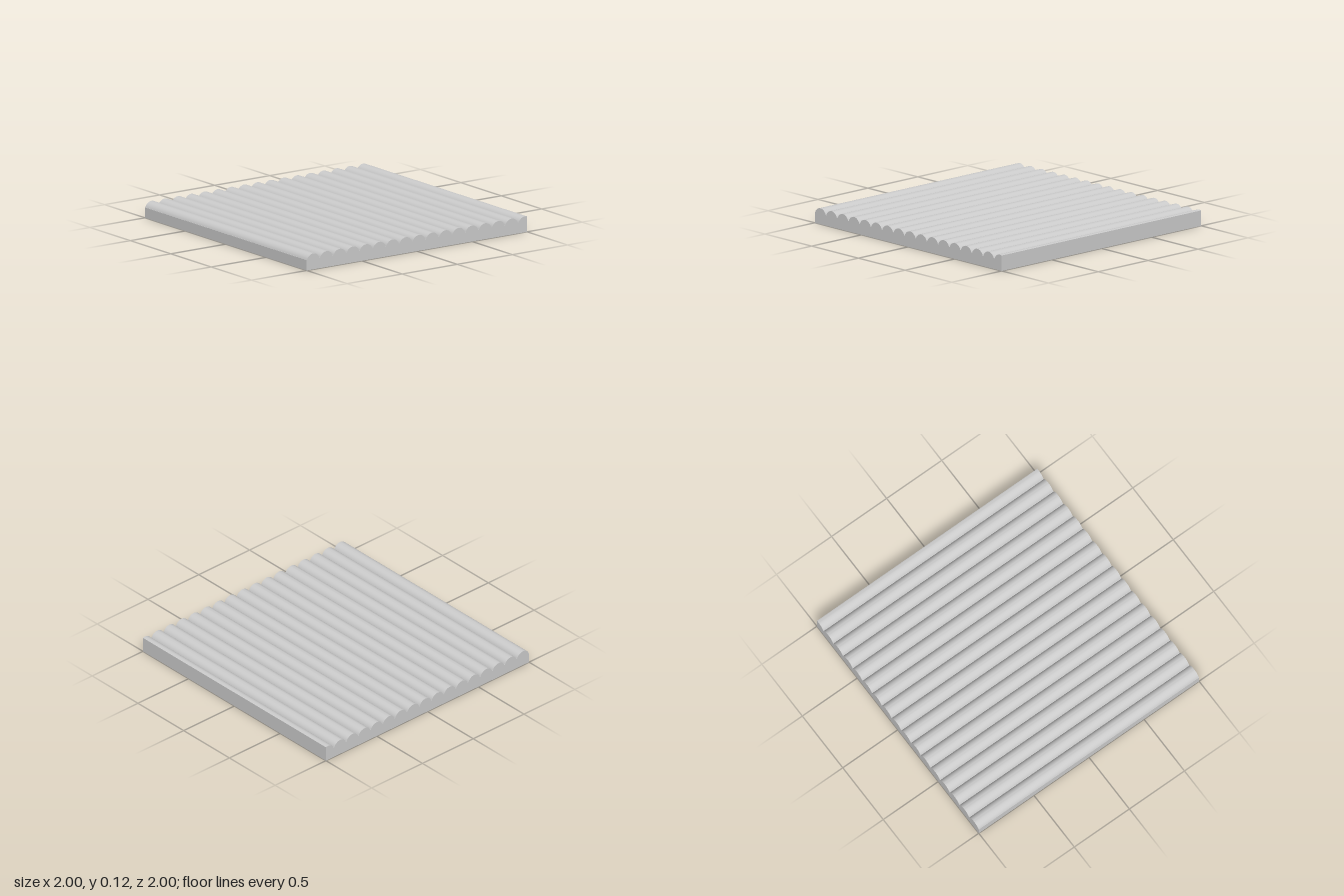
import * as THREE from 'three';
import { toCreasedNormals } from 'three/addons/utils/BufferGeometryUtils.js';

const PITCH = 0.12;   // spacing of the ribs
const RADIUS = 0.06;  // rib rounding
const VALLEY = 0.078; // height of the groove bottoms
const STEPS = 16;     // segments per rib

// Cross-section: flat base, row of round ribs, last rib cut off at the right edge
function ribbedProfile() {
  const shape = new THREE.Shape();
  shape.moveTo(1, 0);
  shape.lineTo(-1, 0).lineTo(-1, VALLEY);
  const start = Math.asin((VALLEY - RADIUS) / RADIUS);
  for (let cx = -1 + PITCH / 2; cx < 1; cx += PITCH) {
    for (let i = 0; i <= STEPS; i++) {
      const a = Math.PI - start - (i / STEPS) * (Math.PI - 2 * start);
      const x = cx + RADIUS * Math.cos(a);
      if (x < 1) shape.lineTo(x, RADIUS + RADIUS * Math.sin(a));
    }
  }
  // edge of the cut rib
  shape.lineTo(1, RADIUS + Math.sqrt(RADIUS ** 2 - 0.02 ** 2));
  shape.closePath();
  return shape;
}

export function createModel() {
  const group = new THREE.Group();
  group.name = 'ribbedPanel';

  // Panel extruded from back to front
  const extruded = new THREE.ExtrudeGeometry(ribbedProfile(), { depth: 2, bevelEnabled: false });
  extruded.translate(0, 0, -1);
  const panel = new THREE.Mesh(
    toCreasedNormals(extruded, 0.5),
    new THREE.MeshStandardMaterial({ color: 0xcccccc })
  );
  panel.name = 'panel';
  group.add(panel);
  return group;
}
